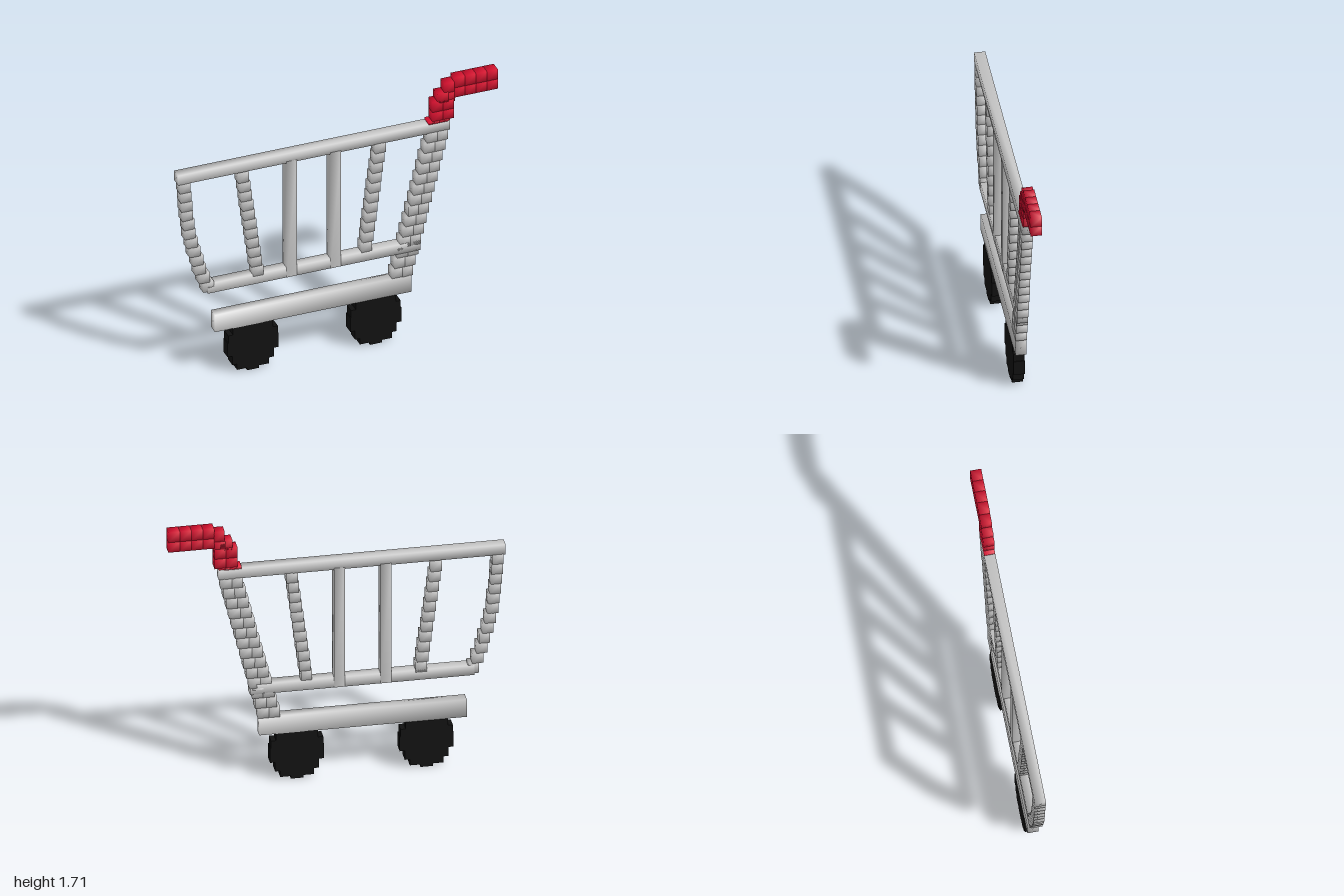
import * as THREE from 'three';
import { mergeGeometries, mergeVertices } from 'three/addons/utils/BufferGeometryUtils.js';

const DEPTH = 0.066;
const grey = new THREE.MeshStandardMaterial({ color: 0xcccccc });
const red = new THREE.MeshStandardMaterial({ color: 0xdd1030 });
const black = new THREE.MeshStandardMaterial({ color: 0x111111 });

// Box between two corners, with welded corners for soft shading
function block(x0, y0, x1, y1, depth = DEPTH) {
  let g = new THREE.BoxGeometry(x1 - x0, y1 - y0, depth);
  g.deleteAttribute('uv');
  g.deleteAttribute('normal');
  g = mergeVertices(g);
  g.computeVertexNormals();
  return g.translate((x0 + x1) / 2, (y0 + y1) / 2, 0);
}

// Column of small cubes, evenly spaced in height, with x given per cube
function cubeColumn(xs, yTop, yBottom, size = 0.066) {
  const step = (yTop - yBottom) / (xs.length - 1);
  return mergeGeometries(xs.map((x, i) => {
    const y = yTop - i * step;
    return block(x - size / 2, y - size / 2, x + size / 2, y + size / 2);
  }));
}

const slope = (a, b, n) => Array.from({ length: n }, (_, i) => a + (b - a) * i / (n - 1));

export function createModel() {
  const group = new THREE.Group();
  const add = (name, geometry, material = grey) => {
    const mesh = new THREE.Mesh(geometry, material);
    mesh.name = name;
    group.add(mesh);
    return mesh;
  };

  // Horizontal rails and chassis
  add('basketTopRail', block(-1, 1.37, 0.7, 1.435));
  add('basketBottomRail', block(-0.815, 0.585, 0.515, 0.65));
  add('chassis', block(-0.77, 0.31, 0.46, 0.425));

  // Straight middle bars
  for (const x of [-0.29, -0.015]) add('straightBar', block(x - 0.032, 0.585, x + 0.032, 1.38, 0.068));

  // Curved nose and slanted bars
  add('noseBar', cubeColumn(
    [-0.955, -0.95, -0.945, -0.94, -0.93, -0.925, -0.91, -0.895, -0.875, -0.86, -0.835, -0.81], 1.34, 0.63));
  add('slantedBarNose', cubeColumn(slope(-0.59, -0.5, 11), 1.33, 0.67));
  add('slantedBarRear', cubeColumn(slope(0.265, 0.18, 11), 1.34, 0.68));

  // Double rear upright down to the chassis
  add('rearUprightInner', cubeColumn(slope(0.59, 0.37, 14), 1.34, 0.455));
  add('rearUprightOuter', cubeColumn(slope(0.655, 0.435, 14), 1.34, 0.455));

  // Handle: foot, stepped neck and grip
  const handle = [
    block(0.565, 1.43, 0.633, 1.447), block(0.633, 1.43, 0.7, 1.447),
    block(0.59, 1.44, 0.657, 1.51), block(0.657, 1.445, 0.725, 1.51),
    block(0.59, 1.51, 0.657, 1.58), block(0.657, 1.51, 0.725, 1.575),
    block(0.62, 1.565, 0.69, 1.63), block(0.66, 1.56, 0.73, 1.625),
    block(0.665, 1.62, 0.73, 1.69),
  ];
  for (let i = 0; i < 4; i++) {
    for (let j = 0; j < 2; j++) {
      const x = 0.727 + i * 0.068, y = 1.583 + j * 0.066;
      handle.push(block(x, y, x + 0.068, y + 0.066));
    }
  }
  add('handle', mergeGeometries(handle), red);

  // Wheels: stepped discs, each step as [half width, bottom, top]
  const steps = [[0.037, 0.003, 0.02], [0.1, 0.02, 0.06], [0.13, 0.06, 0.12],
    [0.16, 0.12, 0.215], [0.155, 0.215, 0.265], [0.125, 0.265, 0.312]];
  const outline = steps.flatMap(([w, b, t]) => [[w, b], [w, t]]);
  const points = [...outline, ...outline.slice().reverse().map(([w, y]) => [-w, y])];
  const disc = new THREE.ExtrudeGeometry(
    new THREE.Shape(points.map(([x, y]) => new THREE.Vector2(x, y))),
    { depth: DEPTH, bevelEnabled: false }).translate(0, 0, -DEPTH / 2);
  add('noseWheel', disc, black).position.x = -0.532;
  add('rearWheel', disc, black).position.x = 0.236;

  return group;
}
